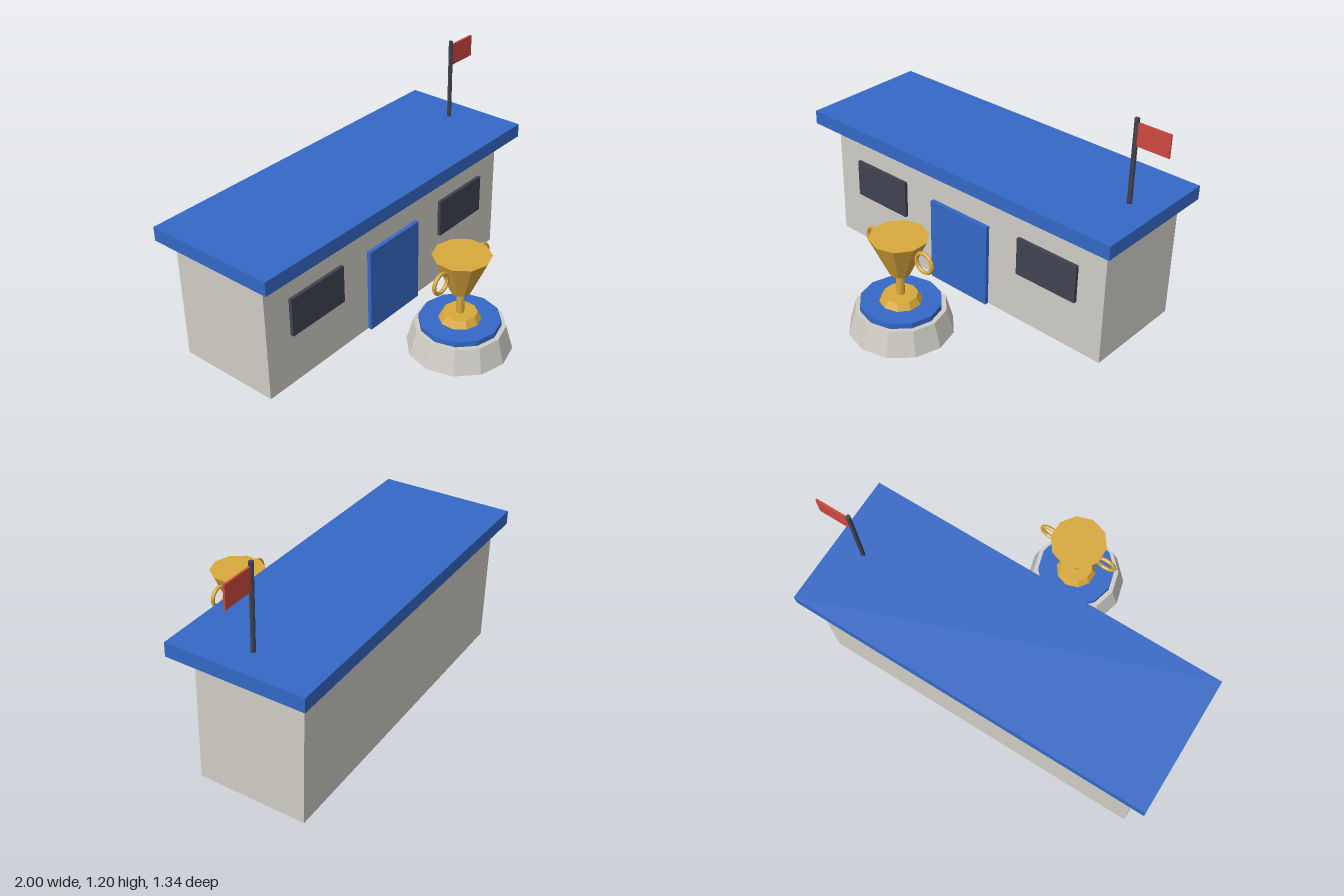
import * as THREE from 'three';

const material = (name, color) => {
  const m = new THREE.MeshStandardMaterial({ color, flatShading: true });
  m.name = name;
  return m;
};

export function createModel() {
  const grey = material('stone grey', 0xcfccc5);
  const blue = material('blue', 0x3468c6);
  const gold = material('gold', 0xd8a83c);
  const dark = material('dark slate', 0x40434f);
  const red = material('red', 0xcd4840);

  const model = new THREE.Group();
  model.name = 'clubhouseWithTrophy';

  const add = (parent, name, geometry, mat, x, y, z) => {
    const mesh = new THREE.Mesh(geometry, mat);
    mesh.name = name;
    mesh.position.set(x, y, z);
    parent.add(mesh);
    return mesh;
  };
  // Box given by its minimum and maximum corners
  const box = (parent, name, mat, [x0, y0, z0], [x1, y1, z1]) =>
    add(parent, name, new THREE.BoxGeometry(x1 - x0, y1 - y0, z1 - z0), mat,
      (x0 + x1) / 2, (y0 + y1) / 2, (z0 + z1) / 2);
  // Tapered round part standing between two heights
  const round = (parent, name, mat, rTop, rBottom, y0, y1, sides, x = 0, z = 0) =>
    add(parent, name, new THREE.CylinderGeometry(rTop, rBottom, y1 - y0, sides), mat,
      x, (y0 + y1) / 2, z);

  // Building, centred on its own x axis
  const cx = -0.015;
  const building = new THREE.Group();
  building.name = 'building';
  building.position.x = cx;
  model.add(building);
  box(building, 'walls', grey, [-0.91, 0, -0.615], [0.91, 0.68, -0.042]);
  box(building, 'roof', blue, [-0.985, 0.68, -0.667], [0.985, 0.755, 0.06]);
  box(building, 'door', blue, [-0.194, 0, -0.05], [0.194, 0.472, -0.02]);
  for (const side of [-1, 1]) {
    const window = box(building, side > 0 ? 'leftWindow' : 'rightWindow', dark,
      [-0.182, 0.287, -0.05], [0.182, 0.496, -0.023]);
    window.position.x = side * 0.571;
  }

  // Flag on the roof
  const flag = new THREE.Group();
  flag.name = 'flag';
  model.add(flag);
  round(flag, 'flagPole', dark, 0.0125, 0.0125, 0.755, 1.198, 6, 0.815, -0.303);
  box(flag, 'flagCloth', red, [0.823, 1.06, -0.308], [1.0, 1.178, -0.298]);

  // Trophy on its plinth
  const trophy = new THREE.Group();
  trophy.name = 'trophy';
  trophy.position.set(cx, 0, 0.397);
  model.add(trophy);
  round(trophy, 'plinth', grey, 0.234, 0.271, 0, 0.132, 12);
  round(trophy, 'plinthDisc', blue, 0.209, 0.209, 0.132, 0.162, 12);
  round(trophy, 'foot', gold, 0.088, 0.109, 0.162, 0.2, 10);
  round(trophy, 'stem', gold, 0.021, 0.021, 0.2, 0.325, 8);
  round(trophy, 'cup', gold, 0.149, 0.054, 0.325, 0.535, 10);
  for (const side of [-1, 1]) {
    add(trophy, side > 0 ? 'leftHandle' : 'rightHandle',
      new THREE.TorusGeometry(0.052, 0.0105, 6, 16), gold, side * 0.169, 0.456, 0);
  }

  return model;
}
